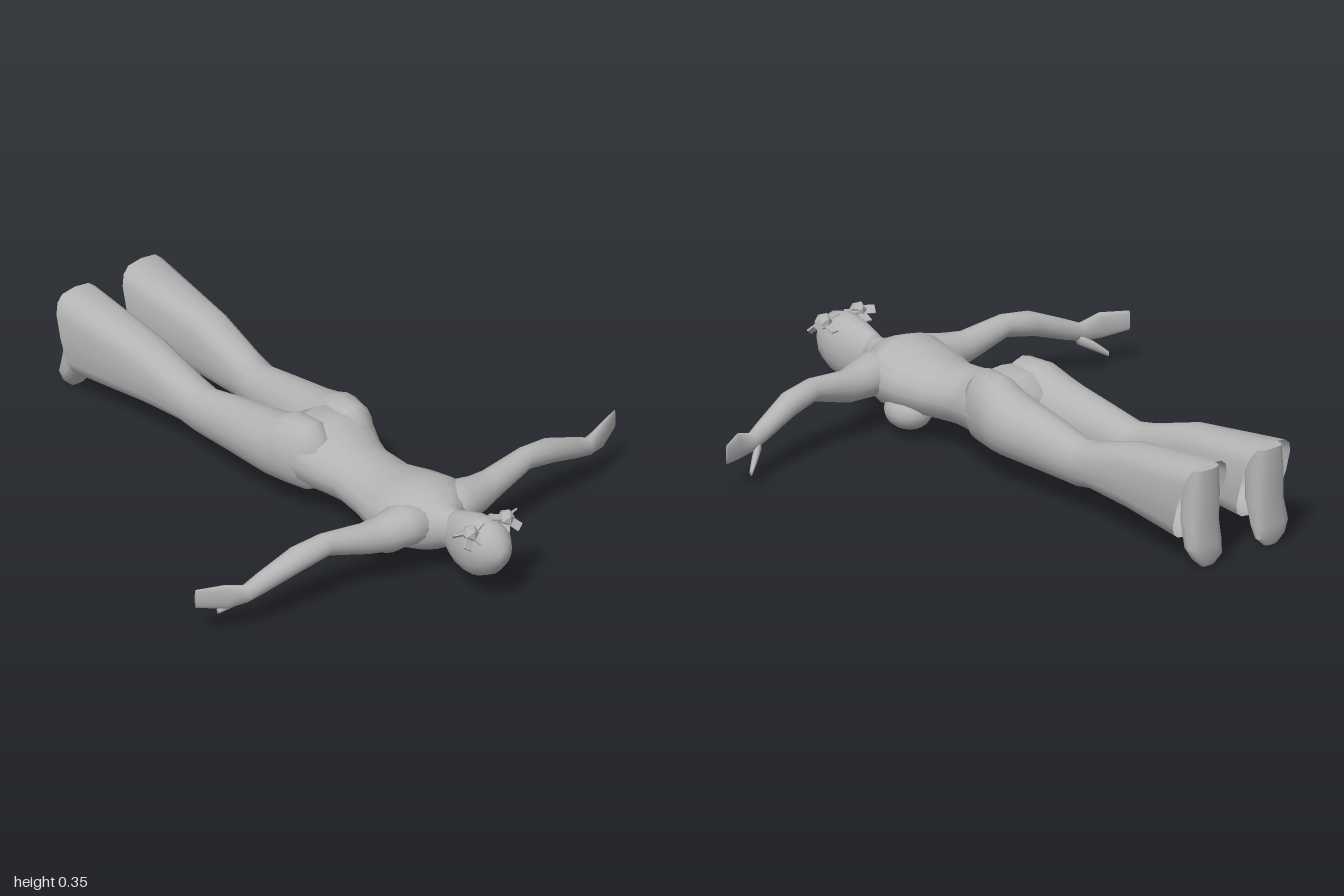
import * as THREE from 'three';
import { toCreasedNormals } from 'three/addons/utils/BufferGeometryUtils.js';

const SEG = 16;
// axis -> [axis, u, v] component indices, right-handed
const AXES = { x: [0, 1, 2], y: [1, 2, 0], z: [2, 0, 1] };

// Loft through rows [t, uMin, uMax, vMin, vMax, roundness = 1, shear along v = 0]
function loft(axis, rows, { capStart = true, capEnd = true } = {}) {
  const [a, u, v] = AXES[axis];
  const rings = [...rows].sort((p, q) => p[0] - q[0]);
  const pos = [], idx = [];
  const add = (t, pu, pv) => {
    const p = [0, 0, 0];
    p[a] = t; p[u] = pu; p[v] = pv;
    pos.push(...p);
  };
  const soft = (c, e) => Math.sign(c) * Math.pow(Math.abs(c), e);
  for (const [t, u0, u1, v0, v1, e = 1, k = 0] of rings) {
    for (let j = 0; j < SEG; j++) {
      const ang = (j / SEG) * Math.PI * 2;
      const dv = soft(Math.sin(ang), e) * (v1 - v0) / 2;
      add(t + k * dv, (u0 + u1) / 2 + soft(Math.cos(ang), e) * (u1 - u0) / 2, (v0 + v1) / 2 + dv);
    }
  }
  for (let i = 0; i < rings.length - 1; i++) {
    for (let j = 0; j < SEG; j++) {
      const p = i * SEG + j, q = i * SEG + (j + 1) % SEG;
      idx.push(p, q, p + SEG, q, q + SEG, p + SEG);
    }
  }
  const cap = (i, flip) => {
    const [t, u0, u1, v0, v1] = rings[i];
    const c = pos.length / 3;
    add(t, (u0 + u1) / 2, (v0 + v1) / 2);
    for (let j = 0; j < SEG; j++) {
      const p = i * SEG + j, q = i * SEG + (j + 1) % SEG;
      idx.push(c, flip ? q : p, flip ? p : q);
    }
  };
  if (capStart) cap(0, true);
  if (capEnd) cap(rings.length - 1, false);
  const g = new THREE.BufferGeometry();
  g.setAttribute('position', new THREE.Float32BufferAttribute(pos, 3));
  g.setIndex(idx);
  g.computeVertexNormals();
  return g;
}

export function createModel() {
  const clay = new THREE.MeshStandardMaterial({ color: 0xb4b4b4, side: THREE.DoubleSide });
  clay.name = 'clay grey';
  const root = new THREE.Group();
  root.name = 'lyingFigure';
  const mesh = (name, geo, parent) => {
    const m = new THREE.Mesh(geo, clay);
    m.name = name;
    parent.add(m);
    return m;
  };

  // Torso from neck to pelvis, back upwards: [z, halfWidth, yLow, yHigh]
  mesh('torso', loft('z', [
    [0.78, 0.045, 0.13, 0.26], [0.73, 0.055, 0.12, 0.255], [0.7, 0.095, 0.1, 0.265],
    [0.66, 0.14, 0.085, 0.285], [0.6, 0.165, 0.07, 0.305], [0.5, 0.16, 0.07, 0.285],
    [0.4, 0.132, 0.08, 0.265], [0.28, 0.12, 0.088, 0.277], [0.22, 0.138, 0.09, 0.29],
    [0.15, 0.168, 0.09, 0.33], [0.05, 0.188, 0.09, 0.325], [-0.02, 0.17, 0.1, 0.28],
  ].map(([z, w, lo, hi]) => [z, -w, w, lo, hi])), root);

  // Head, face downwards
  mesh('head', loft('z', [
    [0.74, 0.045, 0.14, 0.25], [0.757, 0.05, 0.1, 0.265], [0.8, 0.064, 0.082, 0.28],
    [0.85, 0.076, 0.077, 0.294], [0.9, 0.081, 0.088, 0.3], [0.95, 0.07, 0.115, 0.288],
    [0.98, 0.046, 0.15, 0.255], [0.995, 0.018, 0.18, 0.22],
  ].map(([z, w, lo, hi]) => [z, -w, w, lo, hi])), root);
  const nose = mesh('nose', new THREE.ConeGeometry(0.014, 0.035, 6), root);
  nose.position.set(0, 0.073, 0.835);
  nose.rotation.x = Math.PI;

  // Paired parts, modelled on +x and mirrored
  for (const side of [1, -1]) {
    const half = new THREE.Group();
    half.name = side > 0 ? 'leftSide' : 'rightSide';
    half.scale.x = side;
    root.add(half);

    // Arm and flat hand: [x, yLow, yHigh, zLow, zHigh]
    mesh('arm', loft('x', [
      [0.05, 0.13, 0.27, 0.56, 0.715], [0.13, 0.125, 0.265, 0.55, 0.705],
      [0.2, 0.13, 0.25, 0.558, 0.685], [0.26, 0.137, 0.245, 0.56, 0.66],
      [0.42, 0.187, 0.264, 0.56, 0.637], [0.53, 0.165, 0.25, 0.545, 0.63],
      [0.66, 0.122, 0.195, 0.535, 0.598], [0.72, 0.105, 0.167, 0.532, 0.582],
      [0.79, 0.1, 0.19, 0.527, 0.558], [0.88, 0.118, 0.185, 0.494, 0.504],
    ]), half);
    mesh('thumb', loft('x', [
      [0.7, 0.1, 0.135, 0.53, 0.56], [0.74, 0.078, 0.112, 0.504, 0.532],
      [0.78, 0.055, 0.075, 0.485, 0.5],
    ]), half);

    const breast = mesh('breast', new THREE.SphereGeometry(1, 14, 10), half);
    breast.scale.set(0.075, 0.062, 0.085);
    breast.position.set(0.085, 0.097, 0.5);

    // Leg in flared trousers with a slanted open hem
    mesh('trouserLeg', loft('z', [
      [0.19, 0.03, 0.13, 0.12, 0.3], [0.14, 0.0, 0.168, 0.095, 0.344], [0.05, -0.005, 0.194, 0.09, 0.341],
      [0.0, 0.0, 0.2, 0.09, 0.318], [-0.06, 0.003, 0.198, 0.09, 0.303], [-0.2, 0.022, 0.19, 0.09, 0.28],
      [-0.36, 0.046, 0.183, 0.09, 0.25], [-0.43, 0.048, 0.186, 0.104, 0.262, 0.9],
      [-0.62, 0.046, 0.205, 0.097, 0.318, 0.8], [-0.945, 0.04, 0.238, 0.08, 0.355, 0.6, -0.33],
    ], { capStart: false }), half);

    // Shoe, toe pointing down: [y, zLow, zHigh, xLow, xHigh]
    mesh('shoe', toCreasedNormals(loft('y', [
      [0.335, -0.995, -0.93, 0.085, 0.19, 0.7], [0.25, -1, -0.9, 0.078, 0.2, 0.7],
      [0.15, -0.995, -0.9, 0.078, 0.205, 0.7], [0.07, -1, -0.935, 0.075, 0.215, 0.7],
      [0.03, -1, -0.955, 0.08, 0.195, 0.7], [0.002, -0.99, -0.97, 0.11, 0.165, 0.8],
    ]), 0.7), half);

    // Hair bun with loose flat strands
    const bun = new THREE.Group();
    bun.name = 'hairBun';
    bun.position.set(0.075, 0.28, 0.915);
    half.add(bun);
    mesh('bunCore', new THREE.IcosahedronGeometry(0.03, 0), bun);
    for (let i = 0; i < 5; i++) {
      const strand = new THREE.Group();
      strand.name = 'strand';
      strand.rotation.set(i * 0.5 - 0.8, i * 1.26 + 0.35, 0.25 - (i % 2) * 0.35);
      bun.add(strand);
      const tip = mesh('strandPlate', new THREE.BoxGeometry(0.045, 0.006, 0.03), strand);
      tip.position.x = 0.036;
    }
  }
  return root;
}
